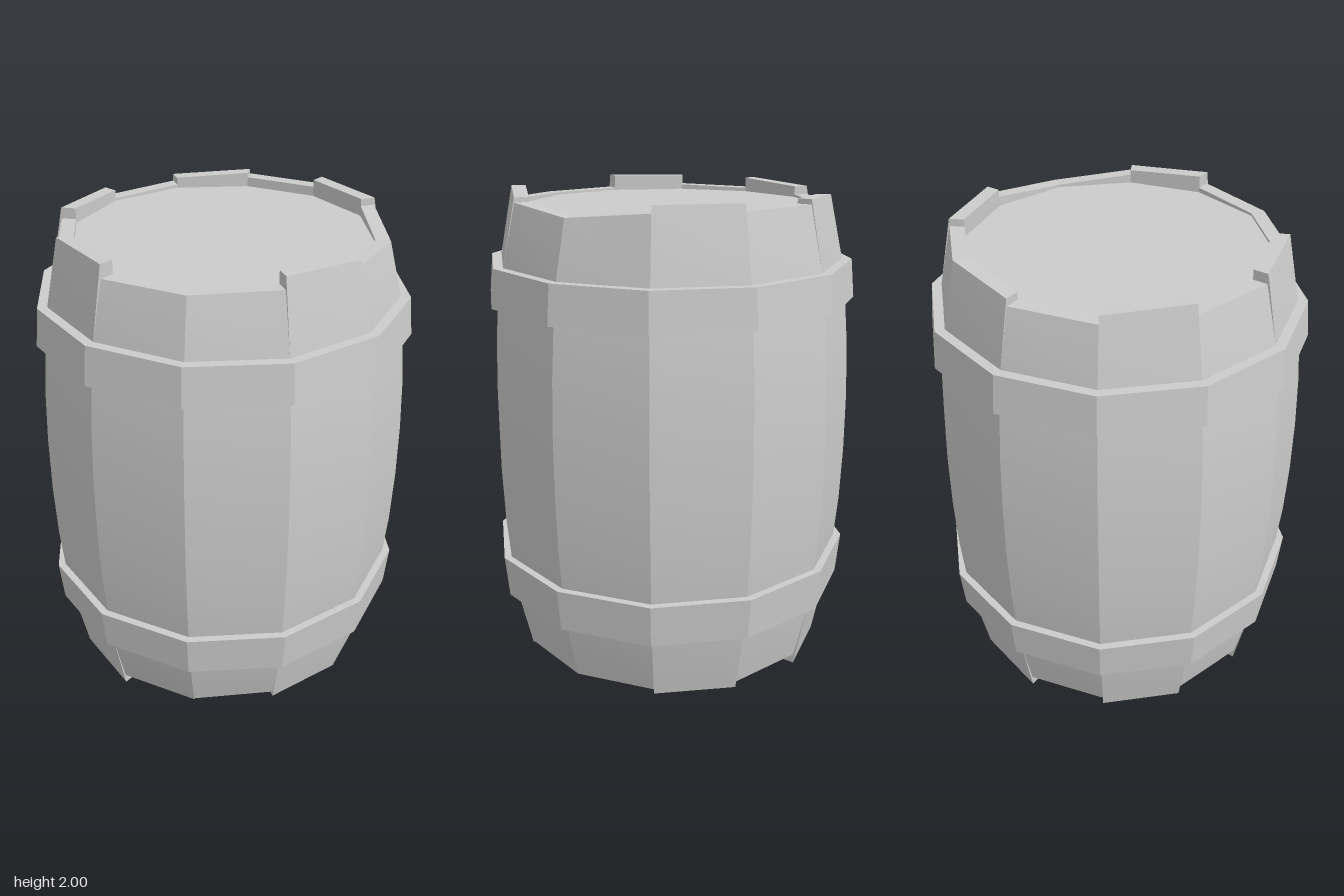
import * as THREE from 'three';
import { toCreasedNormals } from 'three/addons/utils/BufferGeometryUtils.js';

const SIDES = 12;
const INNER = 0.6;
const RIM = 0.66;
const CREASE = 0.4;

// Barrel bulge: outer radius at a height
const bulge = (y) => 0.765 - 0.105 * Math.abs(y - 1) ** 2.3;

// Heights where all staves share the same bend
const LEVELS = [0.28, 0.44, 0.65, 0.88, 1.12, 1.35, 1.56, 1.72];

// Uneven end heights per stave: [bottom A, bottom B, top A, top B]
const STAVES = [
  [0.02, 0.025, 2.0, 2.0],
  [0.045, 0.045, 1.97, 1.94],
  [0.045, 0.05, 1.94, 1.965],
  [0.045, 0.045, 1.985, 2.0],
  [0.07, 0.055, 1.95, 1.94],
  [0.05, 0.05, 1.94, 1.94],
  [0.01, 0.01, 1.995, 1.99],
  [0.05, 0.05, 1.95, 1.945],
  [0.01, 0.01, 1.99, 1.975],
  [0.045, 0.045, 1.94, 1.945],
  [0.0, 0.005, 1.975, 1.99],
  [0.045, 0.045, 1.97, 1.97],
];

// One curved plank, swept upward from four-cornered cross-sections
function staveGeometry(index, [botA, botB, topA, topB]) {
  const a = (index / SIDES) * Math.PI * 2;
  const b = ((index + 1) / SIDES) * Math.PI * 2;
  const sections = [
    [botA, botB, RIM],
    ...LEVELS.map((y) => [y, y, bulge(y)]),
    [topA, topB, RIM],
  ];
  const pos = [];
  const idx = [];
  for (const [yA, yB, r] of sections) {
    const corners = [[a, r, yA], [b, r, yB], [b, INNER, yB], [a, INNER, yA]];
    for (const [angle, radius, y] of corners) {
      pos.push(radius * Math.cos(angle), y, radius * Math.sin(angle));
    }
  }
  const last = sections.length - 1;
  for (let j = 0; j < last; j++) {
    // Only the outer face is exposed between the two ends
    const faces = j === 0 || j === last - 1 ? 4 : 1;
    for (let i = 0; i < faces; i++) {
      const p = j * 4 + i;
      const q = j * 4 + ((i + 1) % 4);
      idx.push(p, p + 4, q + 4, p, q + 4, q);
    }
  }
  const t = last * 4;
  idx.push(0, 1, 2, 0, 2, 3, t, t + 2, t + 1, t, t + 3, t + 2);
  const geo = new THREE.BufferGeometry();
  geo.setAttribute('position', new THREE.Float32BufferAttribute(pos, 3));
  geo.setIndex(idx);
  return toCreasedNormals(geo, CREASE);
}

// Band around the barrel, flaring toward the middle
function hoopGeometry(y0, r0, y1, r1) {
  const profile = [[0.69, y0], [r0, y0], [r1, y1], [0.69, y1], [0.69, y0]];
  const geo = new THREE.LatheGeometry(profile.map(([x, y]) => new THREE.Vector2(x, y)), SIDES);
  return toCreasedNormals(geo, CREASE);
}

export function createModel() {
  const barrel = new THREE.Group();
  barrel.name = 'barrel';
  const material = new THREE.MeshStandardMaterial({ color: 0xcccccc });
  const add = (geometry, name, parent = barrel) => {
    const mesh = new THREE.Mesh(geometry, material);
    mesh.name = name;
    parent.add(mesh);
    return mesh;
  };

  // Planks
  const staves = new THREE.Group();
  staves.name = 'staves';
  barrel.add(staves);
  STAVES.forEach((ends, i) => add(staveGeometry(i, ends), `stave${i + 1}`, staves));

  // Hoops
  add(hoopGeometry(0.298, 0.755, 0.475, 0.772), 'lowerHoop');
  add(hoopGeometry(1.556, 0.772, 1.714, 0.757), 'upperHoop');

  // Flat heads recessed inside the stave ends
  for (const [name, y] of [['topHead', 1.91], ['bottomHead', 0.12]]) {
    const head = new THREE.CylinderGeometry(INNER, INNER, 0.04, SIDES);
    add(toCreasedNormals(head, CREASE), name).position.y = y;
  }
  return barrel;
}
